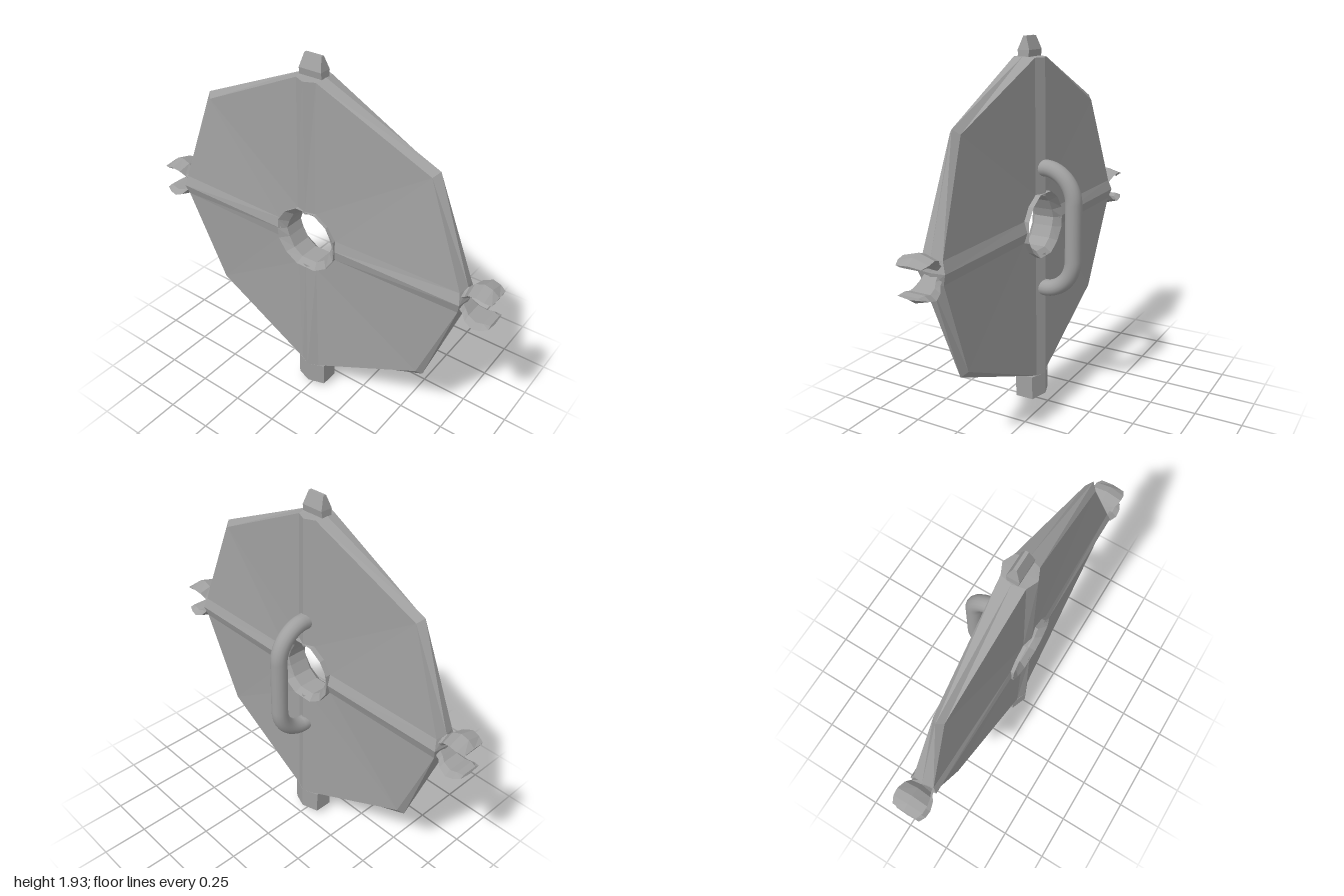
import * as THREE from 'three';

const steel = new THREE.MeshStandardMaterial({ color: 0xa0a0a0 });
steel.name = 'steel grey';

const CY = 1.0, CZ = 0.1; // centre of the plate

// Flat-shaded mesh from polygons; solid ones are turned so that they face outward.
function polyMesh(name, polys, solid = true) {
  const tris = [];
  for (const p of polys)
    for (let i = 1; i < p.length - 1; i++) tris.push([p[0], p[i], p[i + 1]]);
  let volume = 0;
  const v = (a) => new THREE.Vector3(...a);
  for (const [a, b, c] of tris) volume += v(a).dot(v(b).cross(v(c)));
  const out = [];
  for (const t of tris) {
    const [a, b, c] = t;
    out.push(...a, ...(solid && volume < 0 ? [...c, ...b] : [...b, ...c]));
  }
  const geo = new THREE.BufferGeometry();
  geo.setAttribute('position', new THREE.Float32BufferAttribute(out, 3));
  geo.computeVertexNormals();
  const mesh = new THREE.Mesh(geo, steel);
  mesh.name = name;
  mesh.position.set(0, CY, CZ);
  return mesh;
}

// Skin a row of equal-length rings; capped at both ends unless it loops round.
function loft(rings, loop = false) {
  const polys = [];
  const n = rings[0].length;
  const last = loop ? rings.length : rings.length - 1;
  for (let r = 0; r < last; r++) {
    const a = rings[r], b = rings[(r + 1) % rings.length];
    for (let i = 0; i < n; i++) {
      const j = (i + 1) % n;
      polys.push([a[i], a[j], b[j], b[i]]);
    }
  }
  if (!loop) polys.push([...rings[0]].reverse(), rings[rings.length - 1]);
  return polys;
}

// One quarter of one face of the plate: ridged bars, folded panels, bevelled rim.
function plateQuarter(hubZ, cornerZ) {
  const R0 = [0, 0.15, 0.085], R1 = [0, 0.835, 0.085];
  const V0 = [0.055, 0.165, hubZ], V1 = [0.055, 0.835, 0.06];
  const T = [0, 0.84, 0], E1 = [0.07, 0.84, 0];
  const C = [0.64, 0.555, cornerZ], K = [0.665, 0.58, 0];
  const S0 = [0.16, 0, 0.08], S1 = [0.85, 0, 0.073];
  const H0 = [0.17, 0.055, hubZ], H1 = [0.838, 0.055, 0.055];
  const M = [0.86, 0, 0], E2 = [0.85, 0.06, 0];
  return [
    [R0, V0, V1, R1], [S0, S1, H1, H0],
    [V0, C, V1], [V0, H0, C], [H0, H1, C],
    [V1, C, K, E1], [C, H1, E2, K],
    [R1, V1, E1, T], [S1, M, E2, H1],
  ];
}

function mirrored(polys, sx, sy, sz) {
  return polys.map((p) => {
    const q = p.map(([x, y, z]) => [x * sx, y * sy, z * sz]);
    return sx * sy * sz < 0 ? q.reverse() : q;
  });
}

// Mirror a quarter outline (first point on the x axis) into a closed loop.
function fullLoop(quarter) {
  const rest = quarter.slice(1);
  const flip = (list, sx, sy) => list.map(([x, y]) => [x * sx, y * sy]);
  return [
    ...quarter,
    ...flip([...rest].reverse(), -1, 1),
    ...flip(quarter, -1, 1).slice(0, 1),
    ...flip(rest, -1, -1),
    ...flip([...rest].reverse(), 1, -1),
  ];
}

export function createModel() {
  const model = new THREE.Group();
  model.name = 'plate';

  // Plate body
  const body = [];
  for (const sx of [1, -1])
    for (const sy of [1, -1]) {
      body.push(...mirrored(plateQuarter(0.07, 0.028), sx, sy, 1));
      body.push(...mirrored(plateQuarter(0.06, 0.028), sx, sy, -1));
    }
  model.add(polyMesh('plateBody', body, false));

  // Hub ring with a funnelled hole
  const outer = fullLoop([[0.175, 0], [0.17, 0.055], [0.125, 0.12], [0.055, 0.165]]);
  const inner = fullLoop([[0.14, 0], [0.125, 0.045], [0.095, 0.1], [0.045, 0.135]]);
  const hubRings = outer.map(([x, y], i) => {
    const [u, w] = inner[i];
    return [[x, y, 0.088], [u, w, 0.055], [u, w, -0.055], [x, y, -0.088]];
  });
  model.add(polyMesh('hubRing', loft(hubRings, true)));

  // Top tab: tapering to a thin edge
  const rect = (y, x, z) => [[x, y, z], [x, y, -z], [-x, y, -z], [-x, y, z]];
  model.add(polyMesh('topTab', loft([
    rect(0.82, 0.064, 0.025), rect(0.87, 0.061, 0.032), rect(0.935, 0.047, 0.008),
  ])));

  // Bottom foot: ridged block with a pointed end
  const foot = (yRidge, ySide, s) => [
    [0, yRidge, 0.085 * s], [0.085 * s, ySide, 0.05 * s], [0.085 * s, ySide, -0.05 * s],
    [0, yRidge, -0.085 * s], [-0.085 * s, ySide, -0.05 * s], [-0.085 * s, ySide, 0.05 * s],
  ];
  model.add(polyMesh('bottomFoot', loft([
    foot(-0.835, -0.835, 1), foot(-0.955, -0.965, 1), foot(-1, -1, 0.01),
  ])));

  // Side claws: [outer x, outer y, inner x, inner y, half width]
  const claw = [
    [0.83, 0.06, 0.84, 0.0, 0.05],
    [0.855, 0.062, 0.868, 0.03, 0.055],
    [0.88, 0.092, 0.888, 0.052, 0.07],
    [0.925, 0.11, 0.93, 0.065, 0.082],
    [0.965, 0.1, 0.965, 0.056, 0.08],
    [1.0, 0.073, 0.995, 0.06, 0.065],
  ].map(([ox, oy, ix, iy, w]) => {
    const mx = (ox + ix) / 2, my = (oy + iy) / 2;
    return [[ox, oy, 0], [mx, my, w], [ix, iy, w * 0.65], [ix, iy, -w * 0.65], [mx, my, -w]];
  });
  for (const sx of [1, -1])
    for (const sy of [1, -1])
      model.add(polyMesh(
        (sx > 0 ? 'left' : 'right') + (sy > 0 ? 'Upper' : 'Lower') + 'Claw',
        mirrored(loft(claw), sx, sy, 1)));

  // Rear handle: a bent round bar
  const p = (y, z) => new THREE.Vector3(0, y, z);
  const path = new THREE.CurvePath();
  path.add(new THREE.LineCurve3(p(1.295, 0.06), p(1.295, 0)));
  path.add(new THREE.CubicBezierCurve3(p(1.295, 0), p(1.285, -0.08), p(1.215, -0.145), p(1.13, -0.145)));
  path.add(new THREE.LineCurve3(p(1.13, -0.145), p(0.83, -0.145)));
  path.add(new THREE.CubicBezierCurve3(p(0.83, -0.145), p(0.74, -0.145), p(0.67, -0.08), p(0.66, 0)));
  path.add(new THREE.LineCurve3(p(0.66, 0), p(0.66, 0.06)));
  const handle = new THREE.Mesh(new THREE.TubeGeometry(path, 48, 0.043, 16), steel);
  handle.name = 'handle';
  model.add(handle);

  return model;
}
